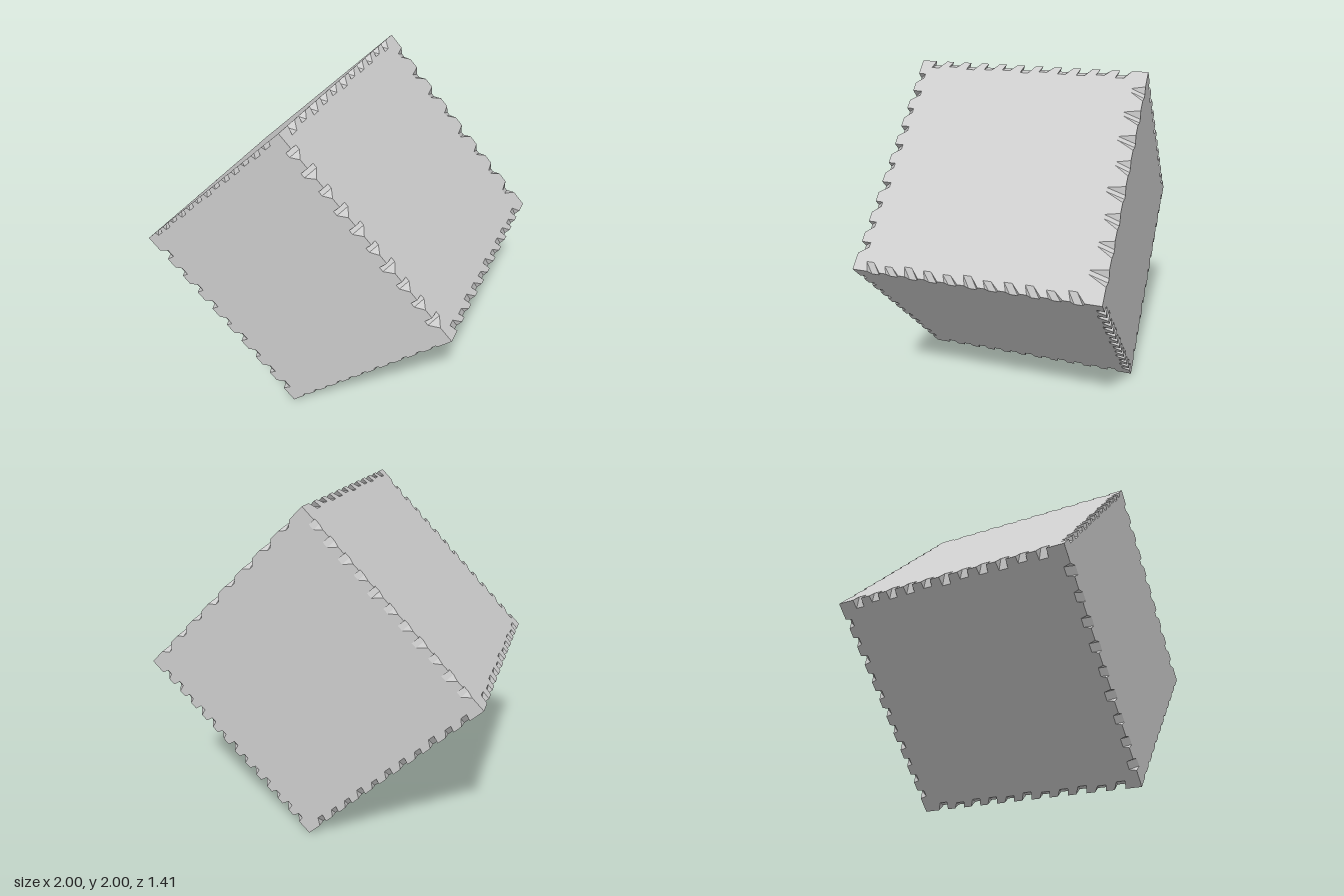
import * as THREE from 'three';

const A = Math.SQRT1_2; // half side of the cube

// Chipped edges: run axis k, signs on the next two axes, number of chips,
// chip depth on each adjoining face, chip width (share of pitch), slant, inner width share
const EDGES = [
  // edges running front to back
  { k: 2, s: [1, 1], n: 11, d: [0.045, 0.04], w: 0.6, slant: [0.03, 0.03], inner: 0.7 },
  { k: 2, s: [1, -1], n: 11, d: [0.05, 0.03], w: 0.65, slant: [0.035, 0], inner: 0.6 },
  { k: 2, s: [-1, 1], n: 11, d: [0.045, 0.045], w: 0.5, slant: [0, 0.01], inner: 0.9 },
  { k: 2, s: [-1, -1], n: 11, d: [0.045, 0.05], w: 0.55, slant: [0.02, 0], inner: 0.8 },
  // edges rising to the left
  { k: 1, s: [1, 1], n: 10, d: [0.05, 0.05], w: 0.55, slant: [0.02, 0.02], inner: 0.4 },
  { k: 1, s: [1, -1], n: 9, d: [0.055, 0.035], w: 0.5, slant: [-0.02, 0], inner: 0.7 },
  { k: 1, s: [-1, 1], n: 8, d: [0.03, 0.09], w: 0.6, slant: [0, 0.02], inner: 0.25 },
  { k: 1, s: [-1, -1], n: 11, d: [0.04, 0.04], w: 0.5, slant: [0.02, 0], inner: 0.7 },
  // edges rising to the right
  { k: 0, s: [1, 1], n: 13, d: [0.045, 0.025], w: 0.65, slant: [-0.03, 0], inner: 0.7 },
  { k: 0, s: [-1, 1], n: 11, d: [0.04, 0.01], w: 0.5, slant: [0.02, 0], inner: 0.5 },
  { k: 0, s: [1, -1], n: 11, d: [0.02, 0.045], w: 0.6, slant: [0.02, 0.02], inner: 0.5 },
  { k: 0, s: [-1, -1], n: 13, d: [0.045, 0.04], w: 0.55, slant: [0.025, 0], inner: 0.6 },
];

// Point from its values along axis k and the next two axes
function point(k, t, a, b) {
  const p = [0, 0, 0];
  p[k] = t;
  p[(k + 1) % 3] = a;
  p[(k + 2) % 3] = b;
  return new THREE.Vector3(...p);
}

// Corners of every chip on an edge: p on the edge, f[0] and f[1] on its two faces
function chipsOf({ k, s, n, d, w, slant, inner }) {
  const margin = 0.07, pitch = (2 * (A - margin)) / n;
  return Array.from({ length: n }, (_, i) => {
    const mid = -A + margin + (i + 0.5) * pitch;
    const vary = 1 + 0.15 * Math.sin(i * 2.4 + k);
    const h = (pitch * w) / 2;
    const onFace = (f, side) => {
      const a = s[0] * (A - (f === 1 ? d[1] * vary : 0));
      const b = s[1] * (A - (f === 0 ? d[0] * vary : 0));
      return point(k, mid + slant[f] + side * h * inner, a, b);
    };
    return {
      p: [-1, 1].map((side) => point(k, mid + side * h, s[0] * A, s[1] * A)),
      f: [0, 1].map((f) => [-1, 1].map((side) => onFace(f, side))),
    };
  });
}

function meshFrom(triangles, name, material) {
  const geometry = new THREE.BufferGeometry().setFromPoints(triangles);
  geometry.computeVertexNormals();
  const mesh = new THREE.Mesh(geometry, material);
  mesh.name = name;
  return mesh;
}

// Flat cube face whose outline follows the chips on its four edges
function facePanel(axis, sign, edges, material) {
  const p = (axis + 1) % 3, q = (axis + 2) % 3;
  const outline = [];
  for (const [run, across, side, dir] of [[p, q, -1, 1], [q, p, 1, 1], [p, q, 1, -1], [q, p, -1, -1]]) {
    const edge = edges.find((e) => {
      const signs = { [(e.k + 1) % 3]: e.s[0], [(e.k + 2) % 3]: e.s[1] };
      return e.k === run && signs[axis] === sign && signs[across] === side;
    });
    const f = (run + 1) % 3 === axis ? 0 : 1;
    const pts = edge.chips.flatMap((c) => [c.p[0], c.f[f][0], c.f[f][1], c.p[1]]);
    const start = new THREE.Vector3();
    start.setComponent(axis, sign * A);
    start.setComponent(across, side * A);
    start.setComponent(run, -dir * A);
    outline.push(start, ...(dir > 0 ? pts : pts.reverse()));
  }
  const flat = outline.map((v) => new THREE.Vector2(v.getComponent(p), v.getComponent(q)));
  const triangles = THREE.ShapeUtils.triangulateShape(flat, [])
    .flatMap(([a, b, c]) => (sign > 0 ? [a, b, c] : [a, c, b]))
    .map((i) => outline[i]);
  return meshFrom(triangles, 'cubeFace', material);
}

// Cut surfaces inside the chips of one edge
function chipCuts({ k, s, chips }, material) {
  const out = point(k, 0, s[0], s[1]), along = point(k, 1, 0, 0);
  const triangles = [];
  const add = (a, b, c, facing) => {
    const normal = b.clone().sub(a).cross(c.clone().sub(a));
    triangles.push(...(normal.dot(facing) >= 0 ? [a, b, c] : [a, c, b]));
  };
  for (const { p, f: [a, b] } of chips) {
    add(a[0], a[1], b[1], out);
    add(a[0], b[1], b[0], out);
    add(p[0], a[0], b[0], along);
    add(p[1], a[1], b[1], along.clone().negate());
  }
  return meshFrom(triangles, 'chippedEdge', material);
}

export function createModel() {
  const model = new THREE.Group();
  model.name = 'chippedCube';
  const material = new THREE.MeshStandardMaterial({
    color: 0xcccccc, flatShading: true, side: THREE.DoubleSide,
  });
  const edges = EDGES.map((e) => ({ ...e, chips: chipsOf(e) }));

  // Cube standing on one edge
  const cube = new THREE.Group();
  cube.name = 'cube';
  for (const axis of [0, 1, 2])
    for (const sign of [-1, 1]) cube.add(facePanel(axis, sign, edges, material));
  for (const edge of edges) cube.add(chipCuts(edge, material));
  cube.rotation.z = Math.PI / 4;
  cube.position.y = 1;
  model.add(cube);
  return model;
}
